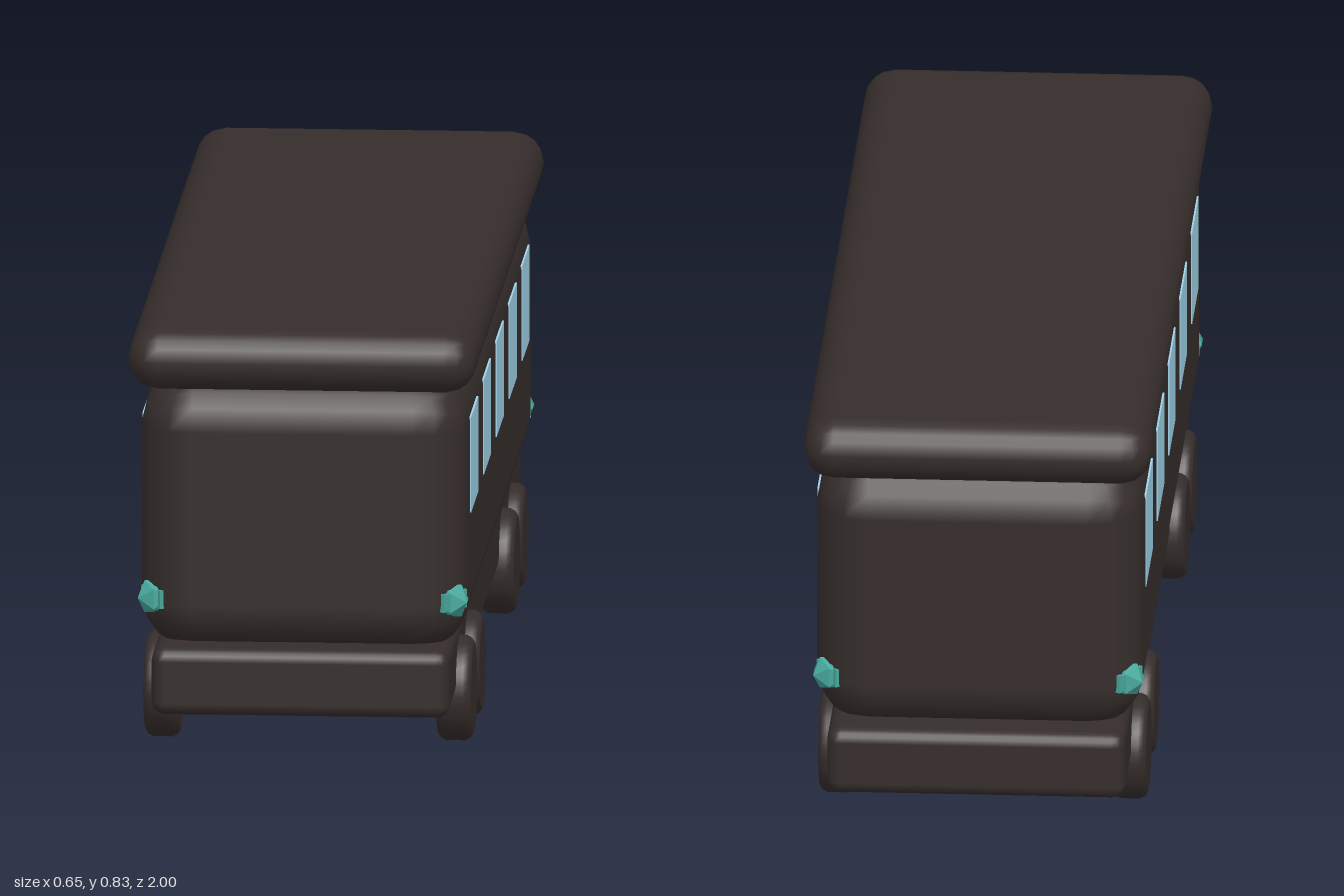
import * as THREE from 'three';
import { RoundedBoxGeometry } from 'three/addons/geometries/RoundedBoxGeometry.js';

const dark = new THREE.MeshStandardMaterial({ color: 0x352d2b });
const glass = new THREE.MeshStandardMaterial({ color: 0x9fd2e8 });
const teal = new THREE.MeshStandardMaterial({ color: 0x48a89c });
teal.flatShading = true;

export function createModel() {
  const model = new THREE.Group();
  model.name = 'railCarriage';

  const add = (name, geometry, material, x, y, z, parent = model) => {
    const mesh = new THREE.Mesh(geometry, material);
    mesh.name = name;
    mesh.position.set(x, y, z);
    parent.add(mesh);
    return mesh;
  };

  // Rounded slabs: width, bottom, top, length, corner radius
  const slab = (name, w, y0, y1, d, r) =>
    add(name, new RoundedBoxGeometry(w, y1 - y0, d, 2, r), dark, 0, (y0 + y1) / 2, 0);
  slab('chassis', 0.56, 0.096, 0.225, 2, 0.025);
  slab('body', 0.614, 0.2, 0.73, 1.908, 0.1);
  slab('roof', 0.654, 0.71, 0.827, 1.98, 0.058);

  // Wheel: disc with softened rims, turned about x
  const profile = [
    [0, -0.033], [0.083, -0.033], [0.086, -0.033], [0.094, -0.028], [0.099, -0.018],
    [0.099, 0.018], [0.094, 0.028], [0.086, 0.033], [0.083, 0.033], [0, 0.033],
  ].map(([r, y]) => new THREE.Vector2(r, y));
  const wheelGeometry = new THREE.LatheGeometry(profile, 32).rotateZ(Math.PI / 2);

  const paneGeometry = new THREE.BoxGeometry(0.02, 0.182, 0.2);
  const gemGeometry = new THREE.IcosahedronGeometry(0.036, 0);
  const barGeometry = new THREE.BoxGeometry(0.018, 0.035, 0.07);

  for (const side of [-1, 1]) {
    for (const z of [-0.71, -0.475, 0.475, 0.71]) {
      add('wheel', wheelGeometry, dark, side * 0.275, 0.1, z);
    }
    for (let i = -2; i <= 2; i++) {
      add('window', paneGeometry, glass, side * 0.299, 0.546, i * 0.353);
    }
    // Lamps set on the rounded body corners
    for (const end of [-1, 1]) {
      const lamp = new THREE.Group();
      lamp.name = 'cornerLamp';
      lamp.position.set(side * 0.279, 0.307, end * 0.907);
      add('lampGem', gemGeometry, teal, 0, 0, 0, lamp);
      const bar = add('lampBar', barGeometry, teal, 0, 0, 0, lamp);
      bar.rotation.y = -side * end * 0.6;
      model.add(lamp);
    }
  }
  return model;
}
